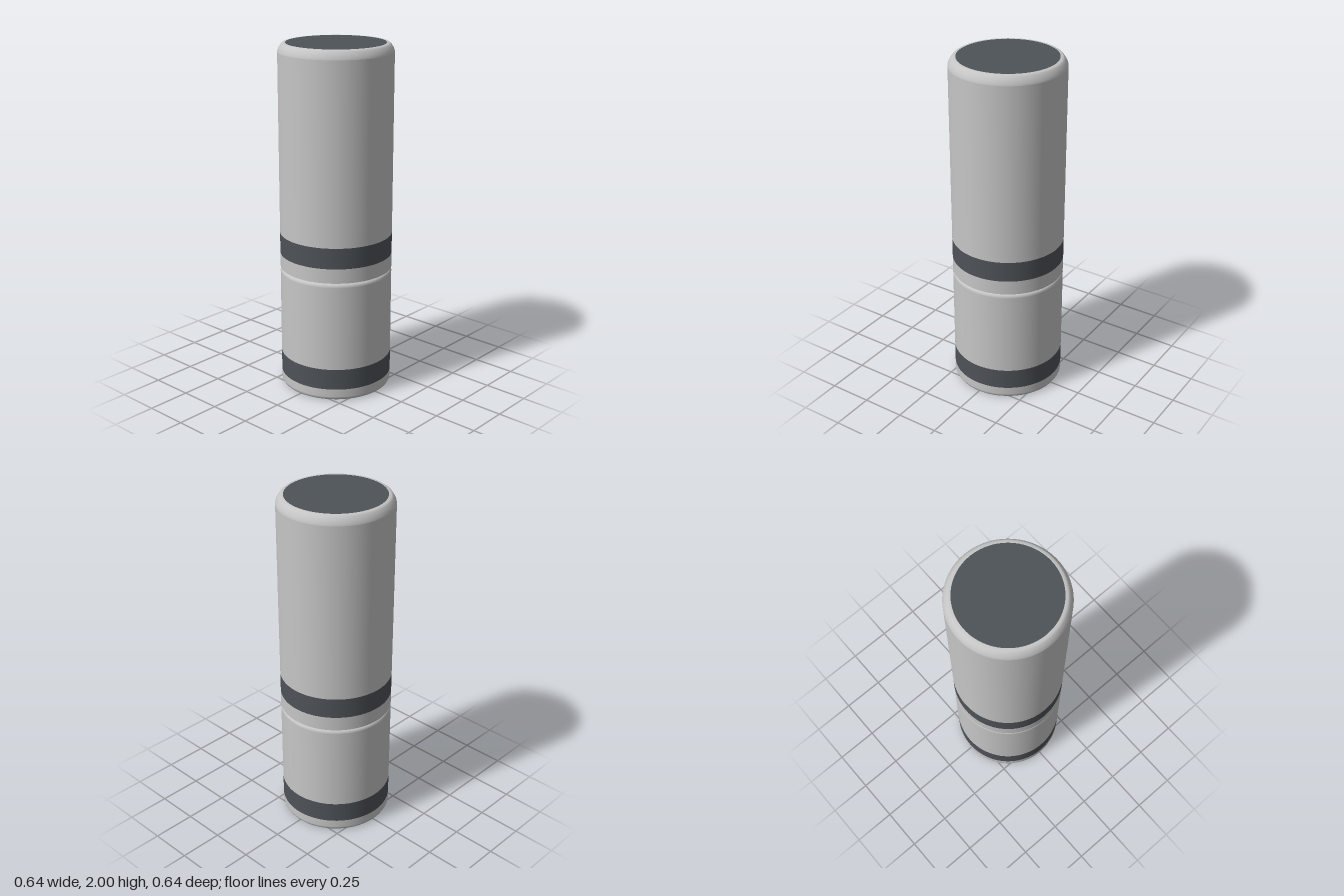
import * as THREE from 'three';

const R = 0.321;

export function createModel() {
  const group = new THREE.Group();
  const silver = new THREE.MeshStandardMaterial({ color: 0xc6c6c6 });
  silver.name = 'silver';
  const charcoal = new THREE.MeshStandardMaterial({ color: 0x4e5358 });
  charcoal.name = 'charcoal';

  // Turned section from [radius, height] points listed bottom to top
  function turned(name, material, points) {
    const profile = points.map(([r, y]) => new THREE.Vector2(r, y));
    const mesh = new THREE.Mesh(new THREE.LatheGeometry(profile, 96), material);
    mesh.name = name;
    group.add(mesh);
  }

  // Base with a small rounded foot
  turned('baseDisc', silver, [[0, 0], [0.303, 0]]);
  turned('baseEdge', silver, [[0.303, 0], [0.314, 0.006], [0.32, 0.016], [R, 0.024], [R, 0.07]]);
  turned('lowerBand', charcoal, [[R, 0.07], [R, 0.193]]);

  // Lower barrel, rounded over into the seam
  turned('lowerBarrel', silver, [[R, 0.193], [R, 0.688], [0.319, 0.698], [0.314, 0.706], [0.305, 0.71]]);

  // Narrow seam between the two halves
  turned('seam', silver, [[0.305, 0.71], [0.305, 0.716]]);
  turned('capUnderside', silver, [[0.305, 0.716], [R, 0.716]]);

  // Upper half
  turned('capCollar', silver, [[R, 0.716], [R, 0.8]]);
  turned('upperBand', charcoal, [[R, 0.8], [R, 0.92]]);
  turned('upperBarrel', silver, [[R, 0.92], [R, 1.95]]);
  turned('topEdge', silver, [[R, 1.95], [0.319, 1.962], [0.311, 1.978], [0.301, 1.993], [0.292, 1.999], [0.278, 2]]);
  turned('topDisc', charcoal, [[0.278, 2], [0, 2]]);
  return group;
}
